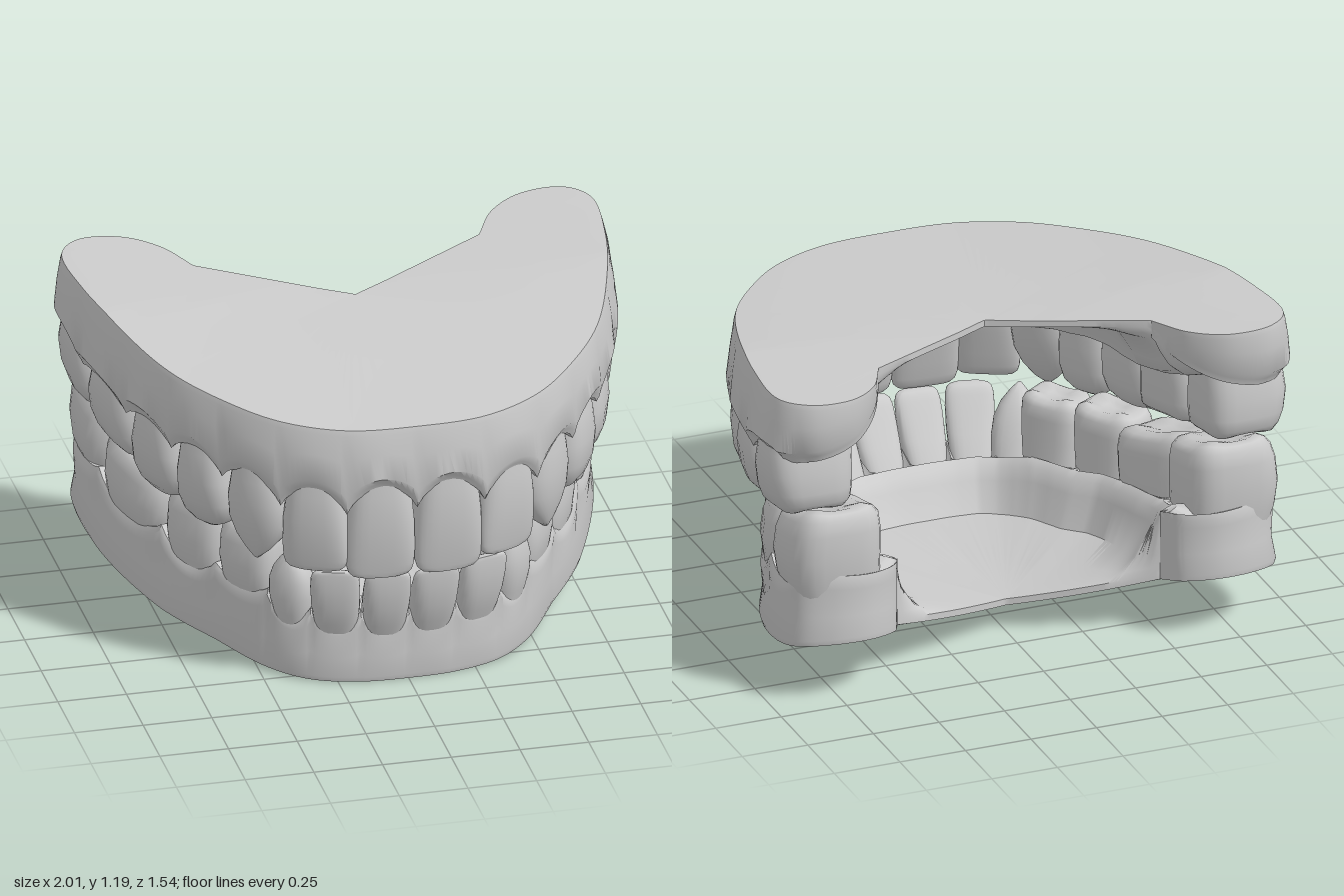
import * as THREE from 'three';
import { toCreasedNormals } from 'three/addons/utils/BufferGeometryUtils.js';

const { lerp, clamp } = THREE.MathUtils;

// Each jaw: outer arch points (one per tooth boundary from the midline, then four round the rear lobe),
// the notch edge (start, end), gum line at boundaries and tooth centres, and tooth sizes.
const UPPER = {
  name: 'upper', dir: 1, bulge: 1, slope: -0.16, fade: .8, tuck: .045, reach: .8, flare: 0,
  arch: [[0, .735], [.25, .715], [.465, .61], [.635, .435], [.77, .235], [.87, -.03], [.945, -.36], [.955, -.64],
    [.87, -.725], [.72, -.72], [.6, -.63], [.52, -.48]],
  notch: [[0, -.19], [.52, -.48]],
  papilla: [.74, .73, .74, .79, .82, .84, .88, .94],
  apex: [.83, .82, .84, .87, .88, .89, .96],
  tip: [.46, .49, .49, .54, .57, .66, .71],
  depth: [.17, .16, .2, .25, .27, .32, .32],
  lean: [-.015, -.01, 0, 0, 0, 0, 0],
  kind: ['incisor', 'incisor', 'canine', 'premolar', 'premolar', 'molar', 'molar'],
  rear: .02,
  base: (x, z) => 1.06 + .12 * Math.min(.94, .74 - z) + .03 * Math.max(0, -.2 - z)
    - .048 * clamp(.74 - z, 0, 1) * Math.max(0, 1 - Math.abs(x) / .9),
};
const LOWER = {
  name: 'lower', dir: -1, bulge: .4, slope: -0.27, fade: .12, tuck: .01, reach: .93, flare: .016,
  arch: [[0, .605], [.17, .595], [.34, .545], [.47, .44], [.61, .235], [.75, 0], [.885, -.38], [.895, -.66],
    [.79, -.74], [.66, -.755], [.55, -.70], [.5, -.61]],
  notch: [[0, -.39], [.5, -.61]],
  papilla: [.28, .28, .29, .33, .35, .40, .46, .51],
  apex: [.225, .235, .245, .305, .30, .36, .44],
  tip: [.46, .47, .50, .545, .575, .61, .715],
  depth: [.13, .13, .17, .2, .22, .3, .35],
  lean: [.095, .085, .05, .01, 0, 0, 0],
  kind: ['incisor', 'incisor', 'canine', 'molar', 'molar', 'molar', 'molar'],
  rear: .07,
  base: (x, z) => Math.max(0, .1 * (.6 - z))
    + .08 * Math.min(1, Math.abs(x) / .5) * Math.pow(clamp((.6 - z) / 1.15, 0, 1.2), 2),
};

// Tooth profiles from root to biting edge: height, width factor, depth factor
const PROFILES = {
  incisor: [[0, .76, 1], [.25, .9, 1], [.5, .98, .85], [.75, 1, .6], [.89, .97, .43], [.95, .91, .34], [.985, .78, .26], [1, .52, .17], [1, 0, 0]],
  canine: [[0, .75, 1], [.25, .9, 1], [.45, 1, .95], [.65, .95, .8], [.8, .72, .6], [.92, .38, .36], [1, .08, .1], [1, 0, 0]],
  premolar: [[0, .78, .85], [.25, .9, .97], [.5, 1, 1], [.72, 1, .95], [.86, .86, .82], [.95, .6, .6], [1, .3, .36], [.98, 0, 0]],
  molar: [[0, .82, .85], [.25, .93, .97], [.5, 1, 1], [.75, 1, .97], [.9, .96, .9], [.97, .87, .78], [1, .7, .58], [.95, .3, .25], [.93, 0, 0]],
};

// Skin a list of closed rings
function loft(rings, flip, crease) {
  const n = rings[0].length, index = [];
  for (let i = 0; i < rings.length - 1; i++) {
    for (let j = 0; j < n; j++) {
      const k = (j + 1) % n;
      const a = i * n + j, b = a + n, c = i * n + k, d = c + n;
      if (flip) index.push(a, c, b, b, c, d);
      else index.push(a, b, c, b, d, c);
    }
  }
  const geometry = new THREE.BufferGeometry();
  geometry.setAttribute('position', new THREE.Float32BufferAttribute(rings.flat(2), 3));
  geometry.setIndex(index);
  return toCreasedNormals(geometry, crease);
}

// Symmetric arch curve; s counts teeth outward from the midline, negative on the right
function archCurve(jaw) {
  const left = jaw.arch.map(([x, z]) => new THREE.Vector3(x, 0, z));
  const right = left.slice(1).reverse().map((p) => new THREE.Vector3(-p.x, 0, p.z));
  const curve = new THREE.CatmullRomCurve3([...right, ...left]);
  const end = left.length - 1;
  return { end, at: (s) => curve.getPoint(clamp((s + end) / (2 * end), 0, 1)) };
}

// Gum body: a section swept round the arch, its inner end running along the rear notch
function gumGeometry(jaw, arch) {
  const rings = [], steps = 12, g = jaw.dir;
  for (let q = -arch.end * steps; q <= arch.end * steps; q++) {
    const s = q / steps, a = Math.abs(s), side = Math.sign(s);
    const P = arch.at(s);
    const f = clamp((a - 4) / 3, 0, 1);
    const [n0, n1] = jaw.notch;
    const inner = new THREE.Vector3(side * lerp(n0[0], n1[0], f), 0, lerp(n0[1], n1[1], f));
    const m = inner.clone().sub(P), L = m.length();
    m.divideScalar(L + 1e-6);

    // Scalloped gum line, running out towards the base round the rear lobe
    const i = Math.min(6, Math.floor(a)), t = Math.min(1, a - i);
    const hump = Math.pow(Math.max(0, Math.sin(Math.PI * t)), .7);
    const lobe = clamp((a - 7) / 4, 0, 1);
    const line = lerp(lerp(jaw.papilla[i], jaw.papilla[i + 1], t), jaw.base(P.x, P.z), jaw.fade * lobe * lobe);
    const rim = line + (jaw.apex[i] - (jaw.papilla[i] + jaw.papilla[i + 1]) / 2) * hump;
    const inRim = line + .012 * g * (1 - lobe);
    const tuck = jaw.tuck * clamp(a - 6.6, 0, 1);

    const c = clamp(a - .5, 0, 5.999), ci = Math.floor(c);
    const D = Math.min(lerp(jaw.depth[ci], jaw.depth[ci + 1], c - ci) + .05, jaw.reach * L);
    const k = jaw.bulge * (1 + .4 * clamp(a - 4, 0, 1)) * (1 - lobe), root = .008 * hump;
    const edge = -.004 - jaw.flare * clamp(a - 4, 0, 1) * (1 - lobe);

    // Section points: inward distance, height from gum line (0) to base (1), extra height
    const outer = [
      [D * .5, 0, .03], [.03 + tuck, 0, .01], [tuck - .004, 0, 0], [tuck - .014, 0, .022],
      [tuck * .6 - .024 * k - root, .2, 0], [tuck * .25 - .017 * k - root / 2, .6, 0], [edge - .006, 1, -.02], [edge, 1, 0],
      [Math.min(.05, L * .3), 1, 0], [L * .5, 1, 0], [L, 1, 0],
    ];
    const lingual = [
      [L, 1, -.025], [lerp(Math.min(D + .12, lerp(D, L, .7)), L, .45), 1, -.05],
      [Math.min(D + .09, lerp(D, L, .6)), .66, 0], [Math.min(D + .02, lerp(D, L, .3)), .25, 0], [D, 0, .02], [D - .04, 0, 0],
    ];
    const place = (reference) => ([d, h, e]) => {
      const p = P.clone().addScaledVector(m, Math.min(d, L));
      return [p.x, lerp(reference, jaw.base(p.x, p.z), h) + e * g, p.z];
    };
    rings.push([...outer.map(place(rim)), ...lingual.map(place(inRim))]);
  }
  return loft(rings, g < 0, .75);
}

// One tooth standing between two arch boundaries
function toothGeometry(jaw, arch, i, side) {
  const g = jaw.dir, kind = jaw.kind[i], segments = 28;
  const A = arch.at(side > 0 ? i : -i - 1), B = arch.at(side > 0 ? i + 1 : -i);
  const T = B.clone().sub(A);
  const extra = i === 6 ? jaw.rear : 0; // the last tooth reaches further back
  const width = T.length() + extra;
  T.normalize();
  const N = new THREE.Vector3(-T.z, 0, T.x);
  const depth = jaw.depth[i];
  const centre = arch.at(side * (i + .5)).addScaledVector(N, -depth / 2 + .002).addScaledVector(T, side * extra / 2);
  const root = jaw.apex[i] + .07 * g, tip = jaw.tip[i];
  const flush = { incisor: .85, canine: .6, premolar: .2, molar: .2 }[kind];
  const power = { incisor: .68, canine: .8, premolar: .64, molar: .62 }[kind];
  const slope = i > 4 ? jaw.slope : 0;
  const bend = (v) => Math.sign(v) * Math.pow(Math.abs(v), power);

  const rings = PROFILES[kind].map(([h, wf, df]) => {
    const ring = [];
    for (let j = 0; j < segments; j++) {
      const a = (j / segments) * Math.PI * 2;
      const u = bend(Math.cos(a)) * width * .5 * wf;
      const v = bend(Math.sin(a)) * depth * .5 * df + depth * .5 * (1 - df) * flush
        + .02 * Math.sin(Math.PI * h) + jaw.lean[i] * h;
      const p = centre.clone().addScaledVector(T, u).addScaledVector(N, v);
      // Cusps on the chewing surface
      const cusp = kind === 'molar' && h > .9 && wf > .5 ? .006 * Math.cos(4 * a) * g : 0;
      ring.push([p.x, lerp(root, tip, h) + cusp + slope * (p.z - centre.z) * h, p.z]);
    }
    return ring;
  });
  return loft(rings, g > 0, 1.0);
}

export function createModel() {
  const model = new THREE.Group();
  model.name = 'dentalModel';
  const material = new THREE.MeshStandardMaterial({ color: 0xcccccc, side: THREE.DoubleSide });
  const toothNames = ['CentralIncisor', 'LateralIncisor', 'Canine', 'FirstPremolar', 'SecondPremolar', 'FirstMolar', 'SecondMolar'];

  for (const jaw of [UPPER, LOWER]) {
    const group = new THREE.Group();
    group.name = jaw.name + 'Jaw';
    const arch = archCurve(jaw);
    const gum = new THREE.Mesh(gumGeometry(jaw, arch), material);
    gum.name = jaw.name + 'Gum';
    group.add(gum);
    for (const side of [1, -1]) {
      toothNames.forEach((toothName, i) => {
        const tooth = new THREE.Mesh(toothGeometry(jaw, arch, i, side), material);
        tooth.name = jaw.name + (side > 0 ? 'Left' : 'Right') + toothName;
        group.add(tooth);
      });
    }
    model.add(group);
  }
  return model;
}
